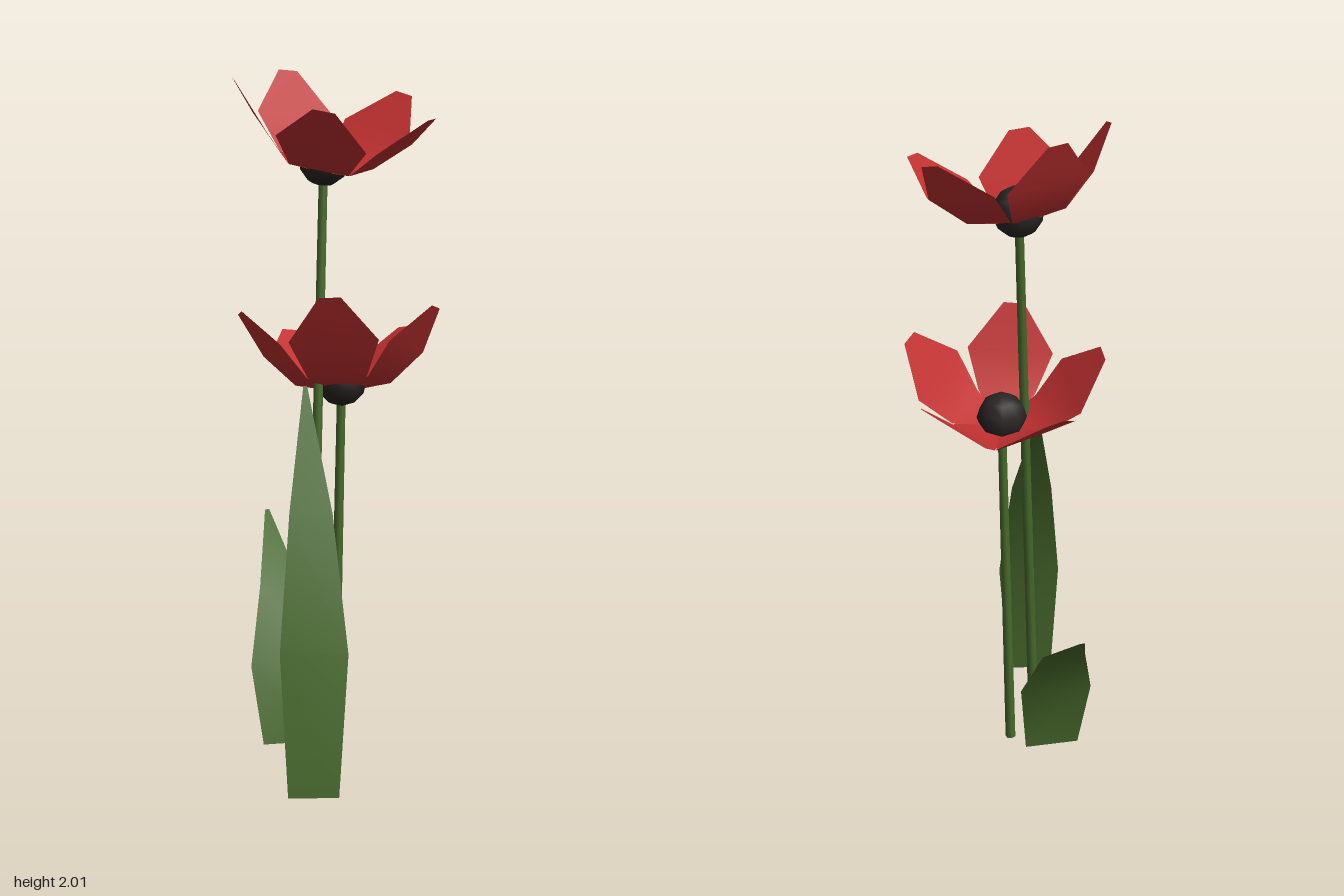
import * as THREE from 'three';

const red = new THREE.MeshStandardMaterial({ name: 'petalRed', color: 0xc03030, side: THREE.DoubleSide });
const green = new THREE.MeshStandardMaterial({ name: 'leafGreen', color: 0x496b2d, side: THREE.DoubleSide });
const dark = new THREE.MeshStandardMaterial({ name: 'centreBlack', color: 0x2a2424 });

// Surface through a list of [leftPoint, rightPoint] pairs
function strip(pairs) {
  const index = [];
  for (let i = 0; i < pairs.length - 1; i++) {
    const a = i * 2;
    index.push(a, a + 1, a + 2, a + 1, a + 3, a + 2);
  }
  const geo = new THREE.BufferGeometry();
  geo.setAttribute('position', new THREE.Float32BufferAttribute(pairs.flat(2), 3));
  geo.setIndex(index);
  geo.computeVertexNormals();
  return geo;
}

function add(parent, name, geometry, material) {
  const mesh = new THREE.Mesh(geometry, material);
  mesh.name = name;
  parent.add(mesh);
  return mesh;
}

// Petal sections: distance from centre, height, half width
const petalSections = [
  [0.01, -0.03, 0.02],
  [0.12, -0.005, 0.085],
  [0.206, 0.085, 0.128],
  [0.298, 0.193, 0.031],
];
const petalGeo = strip(petalSections.map(([r, h, w]) => [[-w, h, r], [w, h, r]]));

// Bloom whose axis leans along the given direction
function bloom(name, centre, axis) {
  const group = new THREE.Group();
  group.name = name;
  for (let i = 0; i < 5; i++) {
    add(group, 'petal', petalGeo, red).rotation.y = Math.PI + (i * Math.PI * 2) / 5;
  }
  add(group, 'flowerCentre', new THREE.SphereGeometry(0.074, 8, 6), dark);
  group.position.set(...centre);
  group.quaternion.setFromUnitVectors(
    new THREE.Vector3(0, 1, 0), new THREE.Vector3(...axis).normalize());
  return group;
}

// Straight tapered stem between two points
function stem(parent, name, from, to) {
  const a = new THREE.Vector3(...from), b = new THREE.Vector3(...to);
  const mesh = add(parent, name, new THREE.CylinderGeometry(0.013, 0.016, a.distanceTo(b), 6), green);
  mesh.position.copy(a).add(b).multiplyScalar(0.5);
  mesh.quaternion.setFromUnitVectors(new THREE.Vector3(0, 1, 0), b.sub(a).normalize());
}

export function createModel() {
  const model = new THREE.Group();
  model.name = 'flowers';

  // Tall flower
  stem(model, 'tallStem', [0.148, 0, 0.14], [0.053, 1.72, -0.02]);
  model.add(bloom('tallBloom', [0.055, 1.75, -0.022], [0.238, 0.971, 0]));

  // Short flower
  stem(model, 'shortStem', [0.1, 0, -0.02], [0.107, 1.08, -0.04]);
  model.add(bloom('shortBloom', [0.107, 1.115, -0.04], [-0.2, 0.96, -0.2]));

  // Leaves, arching inward and outward
  add(model, 'tallLeaf', strip([
    [[0.285, 0, 0.378], [0.387, 0, 0.278]],
    [[0.235, 0.4, 0.358], [0.372, 0.4, 0.224]],
    [[0.152, 0.77, 0.23], [0.24, 0.77, 0.145]],
    [[0.03, 1.1, 0.04], [0.038, 1.1, 0.032]],
  ]), green);
  add(model, 'shortLeaf', strip([
    [[-0.077, 0, 0.1], [0.02, 0, -0.035]],
    [[-0.135, 0.23, 0.093], [0.003, 0.23, -0.075]],
    [[-0.225, 0.44, -0.04], [-0.145, 0.44, -0.14]],
    [[-0.388, 0.625, -0.232], [-0.38, 0.625, -0.243]],
  ]), green);

  return model;
}
